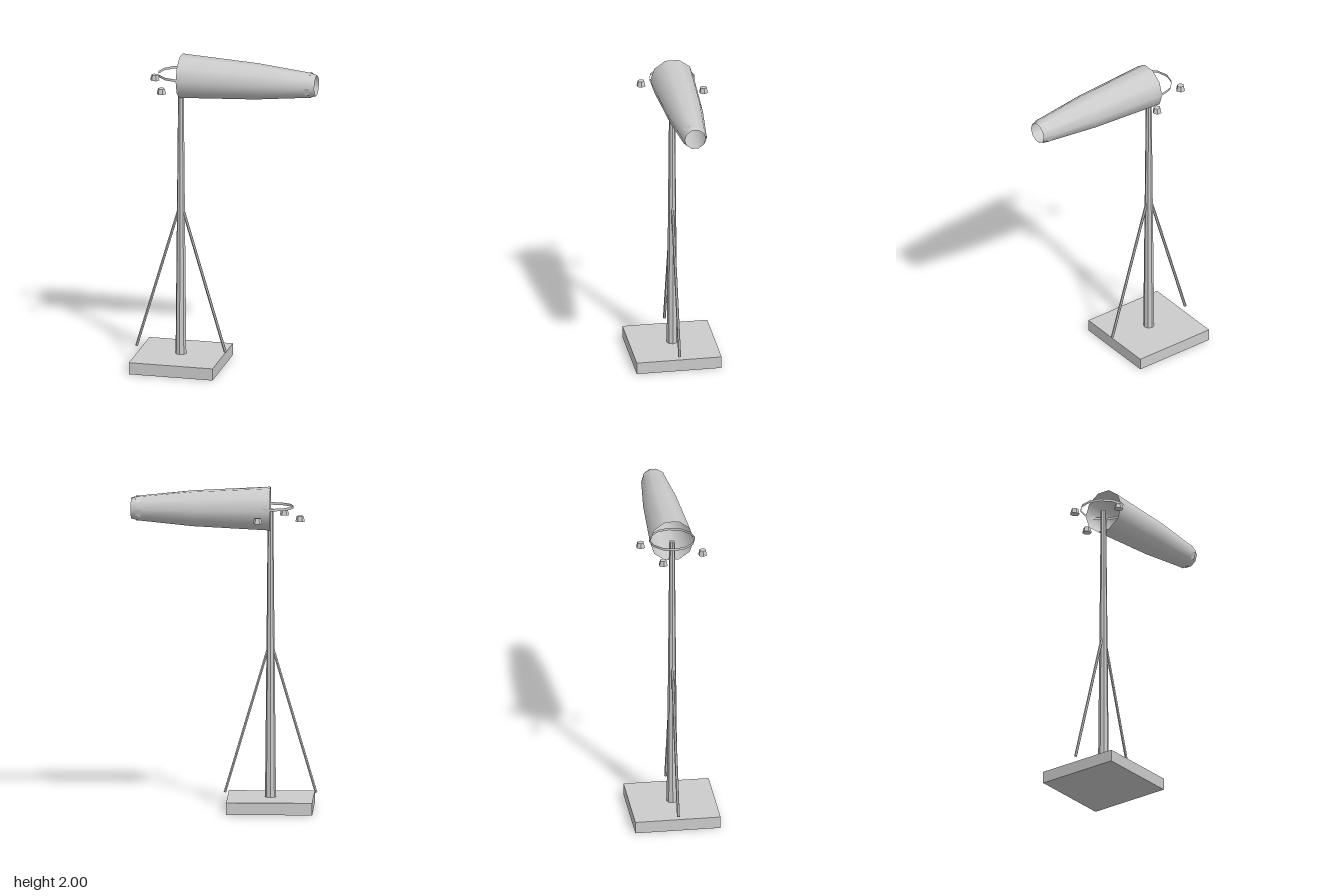
import * as THREE from 'three';

const MAST_X = -0.285;
const AXIS_Y = 1.87;

export function createModel() {
  const group = new THREE.Group();
  const smooth = new THREE.MeshStandardMaterial({ color: 0xcccccc, side: THREE.DoubleSide });
  const flat = new THREE.MeshStandardMaterial({ color: 0xcccccc, flatShading: true, side: THREE.DoubleSide });

  const add = (name, geometry, material, x, y, z = 0) => {
    const mesh = new THREE.Mesh(geometry, material);
    mesh.name = name;
    mesh.position.set(x, y, z);
    group.add(mesh);
    return mesh;
  };

  // Square footing and tapered mast
  add('base', new THREE.BoxGeometry(0.53, 0.075, 0.53), flat, MAST_X, 0.0375);
  add('mast', new THREE.CylinderGeometry(0.017, 0.034, 1.8, 8), flat, MAST_X, 0.97);

  // Two slanted stays, mirrored about the mast
  const up = new THREE.Vector3(0, 1, 0);
  for (const side of [-1, 1]) {
    const foot = new THREE.Vector3(MAST_X + side * 0.281, 0.103, 0);
    const head = new THREE.Vector3(MAST_X + side * 0.012, 1.01, 0);
    const dir = head.clone().sub(foot);
    const mid = foot.clone().add(head).multiplyScalar(0.5);
    const stay = add(side > 0 ? 'leftStay' : 'rightStay',
      new THREE.CylinderGeometry(0.009, 0.009, dir.length(), 6), flat, mid.x, mid.y);
    stay.quaternion.setFromUnitVectors(up, dir.normalize());
  }

  // Open fabric sleeve, ten-sided, narrowing towards +x
  const profile = [[0.137, 0], [0.112, 0.48], [0.078, 0.81], [0.065, 0.86]]
    .map(([r, y]) => new THREE.Vector2(r, y));
  const sleeve = add('windSleeve', new THREE.LatheGeometry(profile, 10), smooth, MAST_X, AXIS_Y);
  sleeve.rotation.z = -Math.PI / 2;

  // Raised patches on every second face near the tail
  for (let i = 0; i < 5; i++) {
    const start = THREE.MathUtils.degToRad(-72 + 72 * i);
    const patch = add('tailPatch',
      new THREE.CylinderGeometry(0.079, 0.079, 0.035, 1, 1, true, start, Math.PI / 5),
      flat, 0.527, AXIS_Y);
    patch.rotation.z = -Math.PI / 2;
  }

  // Thin swivel hoop around the top of the mast
  add('swivelHoop', new THREE.CylinderGeometry(0.142, 0.142, 0.016, 12, 1, true), smooth, MAST_X, 1.881);

  // Hexagonal lamps spaced around the mouth
  for (const [x, z] of [[-0.47, -0.08], [-0.21, -0.185], [-0.365, 0.18]]) {
    const lamp = add('lamp', new THREE.CylinderGeometry(0.021, 0.029, 0.034, 6), flat, x, 1.82, z);
    lamp.rotation.y = Math.PI / 6;
  }

  return group;
}
